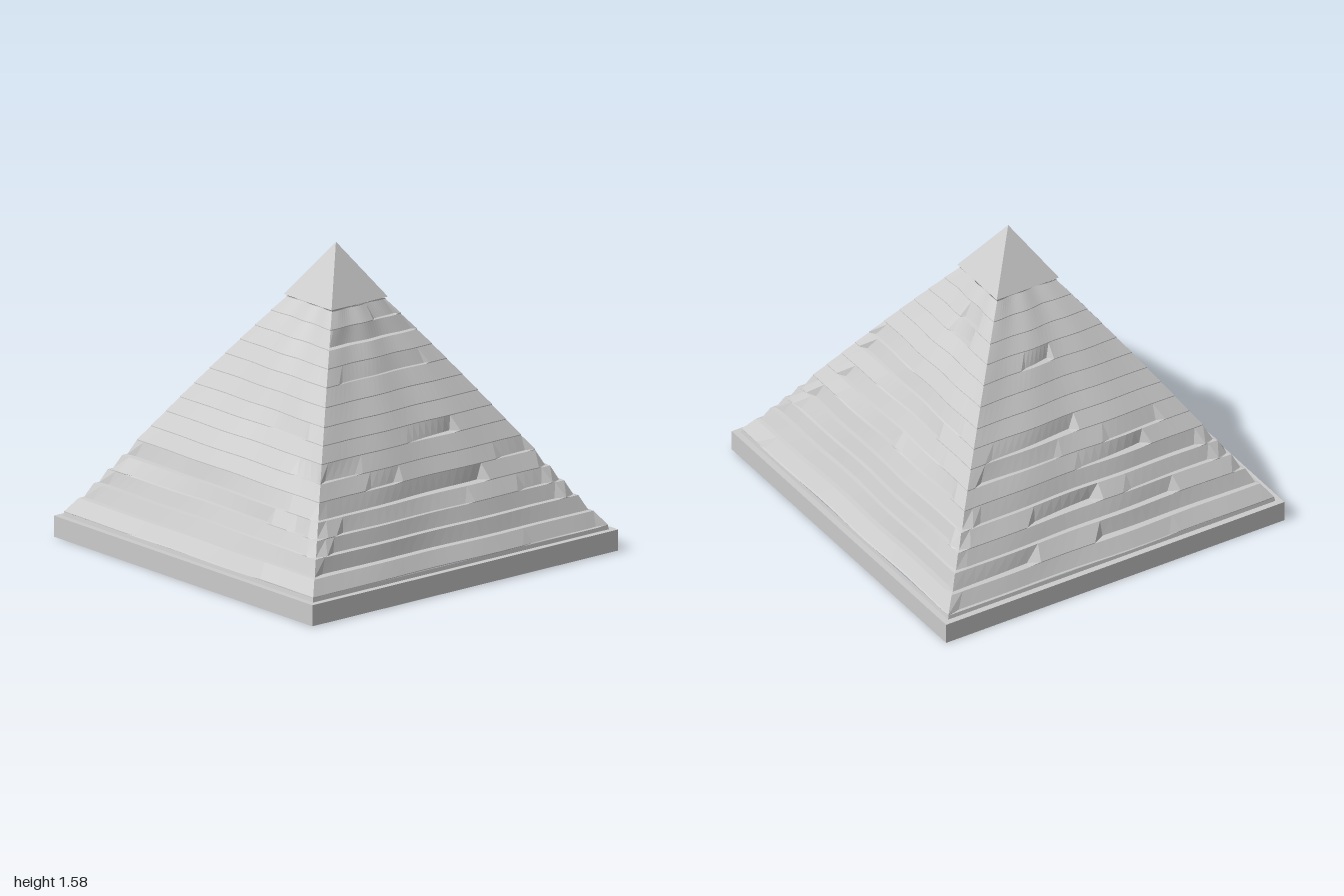
import * as THREE from 'three';

const stone = new THREE.MeshStandardMaterial({ color: 0xcccccc, flatShading: true, side: THREE.DoubleSide });

// Heights of the joints between stone courses
const JOINTS = [0.13, 0.205, 0.285, 0.36, 0.435, 0.515, 0.59, 0.67, 0.745, 0.82, 0.9, 0.98, 1.055, 1.13, 1.21, 1.285];
const COLUMNS = 28;

// Worn ledges per face: [joint, from, to, depth at from, depth at to], measured along the face
const LEDGES = {
  front: [
    [0, -0.48, 0.5, 0.004, 0.012], [1, -0.85, 0.88, 0.025, 0.02], [2, -0.82, 0.75, 0.03, 0.008],
    [3, -0.68, 0.45, 0.006, 0.022], [3, 0.6, 0.74, 0.01, 0.02], [4, -0.74, 0.5, 0.03, 0.012],
    [6, 0.43, 0.64, 0.004, 0.022], [8, 0.15, 0.4, 0.004, 0.012],
  ],
  right: [
    [0, 0.48, 0.95, 0.004, 0.012], [1, -0.9, 0.85, 0.035, 0.02], [2, -0.78, 0.75, 0.025, 0.02],
    [3, -0.68, 0.2, 0.02, 0.008], [3, 0.55, 0.75, 0.01, 0.02], [4, -0.73, 0.36, 0.015, 0.045],
    [5, -0.4, -0.2, 0.01, 0.02], [5, 0.5, 0.68, 0.01, 0.02], [6, -0.64, -0.4, 0.02, 0.006],
    [7, 0.0, 0.28, 0.005, 0.04], [11, -0.3, 0.28, 0.006, 0.012], [13, -0.3, 0.28, 0.03, 0.02],
    [14, 0.05, 0.2, 0.01, 0.02],
  ],
  back: [
    [0, -0.8, 0.9, 0.01, 0.005], [1, -0.85, 0.85, 0.02, 0.03], [2, -0.8, 0.8, 0.025, 0.015],
    [3, -0.75, 0.7, 0.012, 0.025], [4, -0.7, 0.72, 0.025, 0.01], [5, -0.5, 0.0, 0.004, 0.022],
    [5, 0.1, 0.6, 0.008, 0.02], [6, -0.55, 0.4, 0.022, 0.006], [7, -0.3, 0.3, 0.006, 0.018],
    [8, -0.5, 0.4, 0.02, 0.006], [9, -0.48, -0.1, 0.016, 0.005], [12, 0.0, 0.15, 0.01, 0.03],
    [13, 0.02, 0.15, 0.015, 0.02],
  ],
  left: [
    [0, -0.9, 0.4, 0.012, 0.004], [1, -0.85, -0.4, 0.02, 0.035], [1, 0.0, 0.85, 0.035, 0.02],
    [2, -0.8, 0.45, 0.012, 0.03], [3, -0.38, 0.0, 0.02, 0.045], [3, 0.2, 0.74, 0.01, 0.02],
    [4, -0.7, 0.7, 0.012, 0.025], [5, 0.0, 0.36, 0.008, 0.04], [6, -0.6, -0.1, 0.02, 0.008],
    [6, 0.15, 0.5, 0.01, 0.018], [7, -0.5, 0.0, 0.006, 0.035], [11, -0.15, 0.0, 0.01, 0.03],
  ],
};

// Half width of the sound pyramid at a height, bulging slightly toward the top
function halfWidth(y) {
  const s = (y - 0.13) / 1.155;
  return 0.963 - 0.788 * s + 0.018 * Math.sin(Math.PI * s) * s;
}

// Depth of the ledge on a joint at position t along the face
function ledgeDepth(ledges, joint, t) {
  let depth = 0;
  for (const [j, a, b, da, db] of ledges) {
    if (j === joint && t >= a && t <= b) depth = da + (db - da) * (t - a) / (b - a);
  }
  return depth;
}

// Broad, shallow erosion that fades out at the corners
function erosion(side, u, y) {
  const wave = Math.sin(u * 4.3 + y * 5 + side * 2.1) * Math.cos(y * 9 - u * 3 + side * 1.7);
  return 0.009 * (1 - u * u) * (wave - 0.3);
}

// One weathered face: each joint gets an outer row (top of a course) and an inner row (foot of the next)
function weatheredFace(side, ledges) {
  const positions = [], index = [], stride = COLUMNS + 1;
  JOINTS.forEach((y, joint) => {
    const r = halfWidth(y);
    const cornerDepth = joint > 0 && joint < 5 ? 0.018 : 0;
    for (const inner of [0, 1]) {
      for (let i = 0; i <= COLUMNS; i++) {
        const u = -1 + 2 * i / COLUMNS;
        const corner = i === 0 || i === COLUMNS;
        const cut = inner * (corner ? cornerDepth : ledgeDepth(ledges, joint, u * r));
        const out = r - cut + (corner ? 0 : erosion(side, u, y));
        const along = u * (r - inner * cornerDepth);
        positions.push(along, y + inner * 0.004, out);
      }
    }
  });
  for (let row = 0; row < JOINTS.length * 2 - 1; row++) {
    for (let i = 0; i < COLUMNS; i++) {
      const a = row * stride + i, b = a + 1, c = a + stride, d = c + 1;
      index.push(a, b, d, a, d, c);
    }
  }
  const geometry = new THREE.BufferGeometry();
  geometry.setAttribute('position', new THREE.Float32BufferAttribute(positions, 3));
  geometry.setIndex(index);
  geometry.computeVertexNormals();
  return geometry;
}

function addMesh(parent, name, geometry) {
  const mesh = new THREE.Mesh(geometry, stone);
  mesh.name = name;
  parent.add(mesh);
  return mesh;
}

export function createModel() {
  const model = new THREE.Group();
  model.name = 'pyramid';

  // Open square plinth with a narrow step up to the first course
  const profile = [[1, 0], [1, 0.11], [0.967, 0.11], [0.963, 0.13]]
    .map(([r, y]) => new THREE.Vector2(r * Math.SQRT2, y));
  addMesh(model, 'plinth', new THREE.LatheGeometry(profile, 4, Math.PI / 4));

  // Four eroded faces forming a hollow shell
  const body = new THREE.Group();
  body.name = 'weatheredBody';
  Object.entries(LEDGES).forEach(([name, ledges], side) => {
    addMesh(body, name + 'Face', weatheredFace(side, ledges)).rotation.y = side * Math.PI / 2;
  });
  model.add(body);

  // Smooth capstone slightly overhanging the body
  const cap = new THREE.ConeGeometry(0.184 * Math.SQRT2, 0.28, 4, 1, false, Math.PI / 4);
  addMesh(model, 'capstone', cap).position.set(0.003, 1.438, 0.003);

  return model;
}
